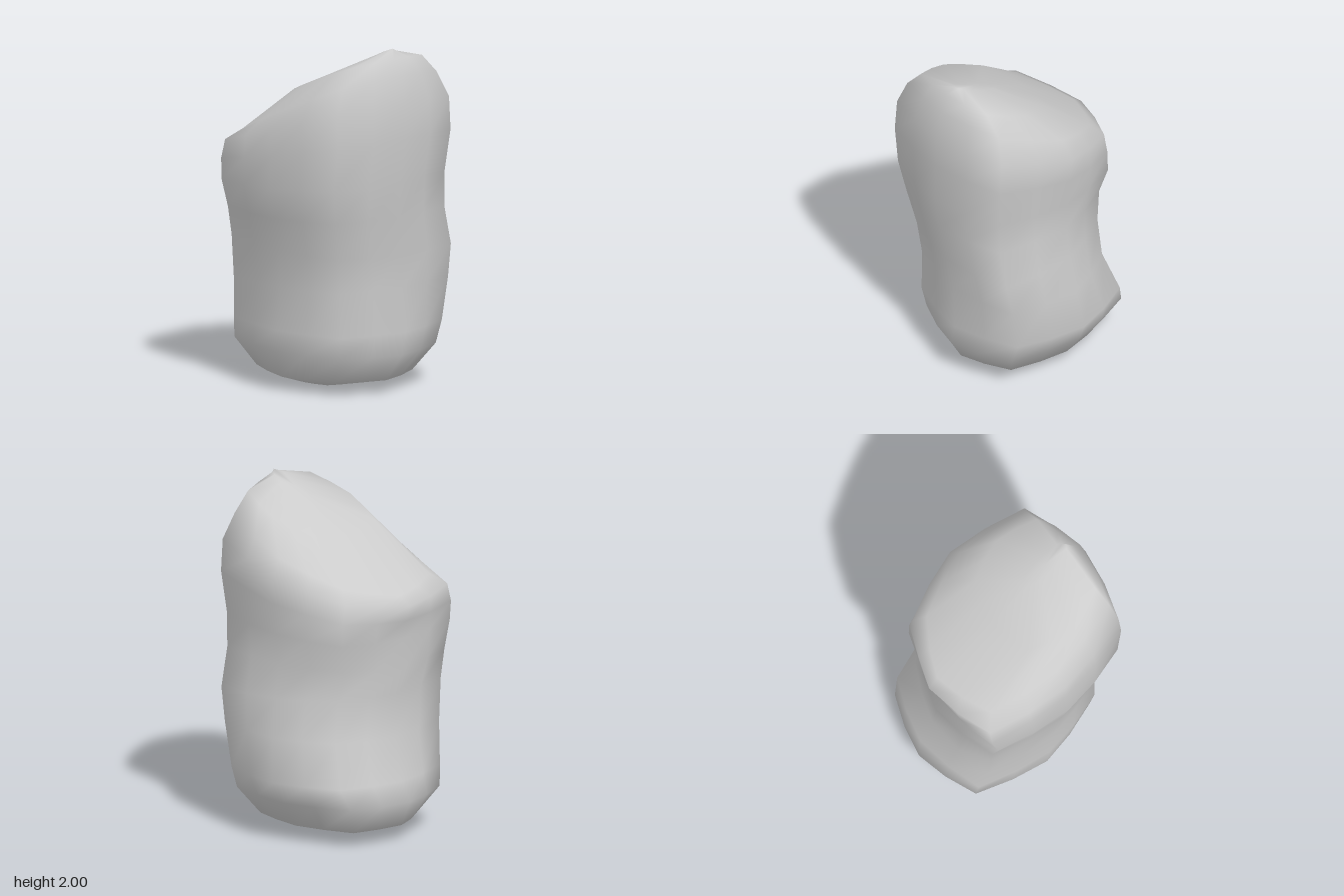
import * as THREE from 'three';

const SIDES = 16;

// Cross-sections from base to top: yFront, yBack, xMin, xMax, zMin, zMax,
// then how far each corner fills its box (+x+z, -x+z, -x-z, +x-z)
const RINGS = [
  [0.015, 0.02, -0.2, 0.15, -0.24, 0.13, 0.75, 0.75, 0.75, 0.75],
  [0.075, 0.085, -0.39, 0.39, -0.5, 0.41, 0.76, 0.7, 0.72, 0.8],
  [0.23, 0.24, -0.45, 0.5, -0.585, 0.51, 0.78, 0.74, 0.8, 0.78],
  [0.36, 0.36, -0.45, 0.56, -0.55, 0.51, 0.77, 0.78, 0.84, 0.75],
  [0.62, 0.6, -0.45, 0.525, -0.48, 0.505, 0.85, 0.77, 0.9, 0.7],
  [0.81, 0.85, -0.475, 0.485, -0.47, 0.52, 0.9, 0.77, 0.9, 0.71],
  [1.04, 1.01, -0.52, 0.46, -0.51, 0.55, 0.85, 0.79, 0.85, 0.72],
  [1.24, 1.17, -0.56, 0.475, -0.49, 0.572, 0.82, 0.8, 0.88, 0.8],
  [1.5, 1.28, -0.54, 0.5, -0.52, 0.59, 0.83, 0.83, 0.88, 0.75],
  [1.7, 1.37, -0.54, 0.505, -0.545, 0.585, 0.82, 0.82, 0.83, 0.7],
  [1.86, 1.42, -0.46, 0.44, -0.48, 0.55, 0.8, 0.83, 0.81, 0.68],
  [1.95, 1.71, -0.36, 0.31, -0.1, 0.5, 0.8, 0.8, 0.8, 0.74],
  [2.0, 1.85, -0.05, 0.05, 0.15, 0.46, 0.75, 0.75, 0.75, 0.75],
];

function ringPoint([yFront, yBack, x0, x1, z0, z1, ...fill], i) {
  const quadrant = Math.floor((i * 4) / SIDES);
  const f = fill[quadrant];
  // Points of one quarter: side, slightly bulged in-between, corner, in-between
  const m = (1 + f) / 2 + 0.03;
  let [u, v] = [[1, 0], [m, f / 2], [f, f], [f / 2, m]][i % 4];
  for (let q = 0; q < quadrant; q++) [u, v] = [-v, u];
  return [
    (x0 + x1) / 2 + (u * (x1 - x0)) / 2,
    THREE.MathUtils.lerp(yBack, yFront, (v + 1) / 2),
    (z0 + z1) / 2 + (v * (z1 - z0)) / 2,
  ];
}

function boulderGeometry() {
  const positions = [], index = [];
  for (const ring of RINGS) {
    for (let i = 0; i < SIDES; i++) positions.push(...ringPoint(ring, i));
  }
  const bottom = RINGS.length * SIDES, top = bottom + 1;
  positions.push(-0.03, 0, -0.05, 0, 1.93, 0.3);

  const last = (RINGS.length - 1) * SIDES;
  for (let i = 0; i < SIDES; i++) {
    const j = (i + 1) % SIDES;
    // Side bands
    for (let k = 0; k < last; k += SIDES) {
      const a = k + i, b = k + j, c = a + SIDES, d = b + SIDES;
      index.push(a, c, b, b, c, d);
    }
    // Closed ends
    index.push(bottom, i, j, top, last + j, last + i);
  }
  const geometry = new THREE.BufferGeometry();
  geometry.setAttribute('position', new THREE.Float32BufferAttribute(positions, 3));
  geometry.setIndex(index);
  geometry.computeVertexNormals();
  return geometry;
}

export function createModel() {
  const group = new THREE.Group();
  group.name = 'standingStone';
  const material = new THREE.MeshStandardMaterial({ color: 0xcccccc });
  const rock = new THREE.Mesh(boulderGeometry(), material);
  rock.name = 'rock';
  group.add(rock);
  return group;
}
